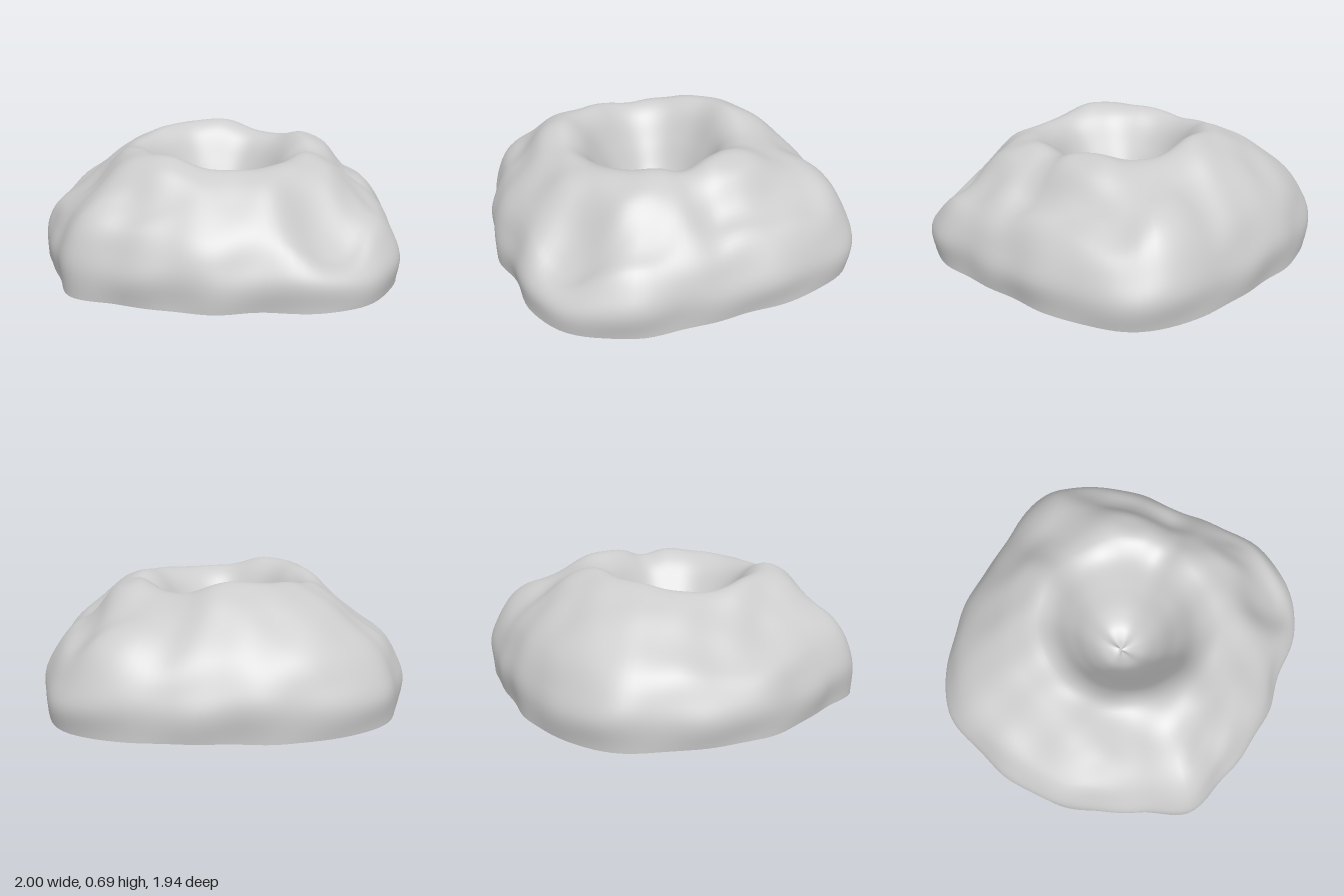
import * as THREE from 'three';

// Outline radius every 15 degrees, from +x towards +z
const OUTLINE = [0.985, 1.01, 1.09, 1.12, 1.08, 0.965, 0.96, 0.955, 0.98, 1.05, 0.98, 0.975,
  1.0, 1.01, 1.035, 1.085, 1.04, 1.0, 0.97, 0.985, 1.06, 1.14, 1.09, 1.03];
// Crest height every 30 degrees and crest radius every 90 degrees
const CREST = [0.61, 0.63, 0.61, 0.6, 0.65, 0.64, 0.61, 0.64, 0.67, 0.69, 0.63, 0.63];
const CREST_RADIUS = [0.5, 0.53, 0.48, 0.46];

// Cross-section: [place, height share]; place 1 = outer rim, 0 = crest, -1 = crater centre
const PROFILE = new THREE.CatmullRomCurve3([
  [0.98, 0], [1, 0.22], [0.93, 0.39], [0.8, 0.57], [0.5, 0.8], [0.25, 0.94], [0, 1],
  [-0.2, 0.92], [-0.4, 0.68], [-0.58, 0.43], [-0.74, 0.28], [-0.87, 0.23], [-1, 0.22],
].map(([a, y]) => new THREE.Vector3(a, y, 0)));

// Local dents and swellings: [x, z, width x, width z, height]
const BUMPS = [
  [0.58, 0.73, 0.22, 0.2, -0.15], // front corner terrace
  [0.74, 0.42, 0.12, 0.16, -0.05], // shoulder beside the terrace
  [0.74, -0.25, 0.09, 0.34, -0.04], // side step
  [0.55, -0.2, 0.14, 0.22, 0.04], // side ridge
  [0.62, 0.06, 0.3, 0.09, -0.02], // side groove
  [0.58, -0.76, 0.2, 0.16, 0.05], // back corner
  [-0.45, 0.7, 0.26, 0.08, -0.03], // front step
  [-0.62, 0.74, 0.18, 0.12, 0.05], // front corner
  [-0.2, 0.55, 0.25, 0.15, 0.02], // front plateau
  [-0.72, 0.0, 0.18, 0.35, -0.06], // sloping side
  [-0.64, 0.27, 0.1, 0.16, -0.02],
  [-0.42, 0.12, 0.18, 0.16, 0.02],
  [0.26, -0.56, 0.13, 0.2, -0.02], // back groove
];

// Smooth value from a closed ring of samples
function ring(samples, turn) {
  const n = samples.length, f = turn * n, i = Math.floor(f), t = f - i;
  const p = (k) => samples[(i + k + n) % n];
  return p(0) + 0.5 * t * (p(1) - p(-1)
    + t * (2 * p(-1) - 5 * p(0) + 4 * p(1) - p(2)
    + t * (3 * (p(0) - p(1)) + p(2) - p(-1))));
}

function lumps(x, z) {
  return 0.009 * Math.sin(9 * x + 2 * z + 1) * Math.sin(8 * z - 3 * x)
    + 0.005 * Math.sin(19 * x - 5 * z) * Math.sin(17 * z + 4 * x + 2);
}

function surfacePoint(turn, v) {
  const angle = turn * Math.PI * 2;
  const { x: a, y: share } = PROFILE.getPoint(v);
  const crest = ring(CREST_RADIUS, turn), R = ring(OUTLINE, turn);
  let r = a < 0 ? crest * (1 + a) : crest + (R - crest) * a;
  r += 0.008 * Math.sin(angle * 13 + share * 5) * Math.cos(angle * 4 - share * 7) * Math.max(0, a);
  const shift = Math.max(0, -a); // the crater floor sits slightly off centre
  const x = r * Math.cos(angle) - 0.01 * shift;
  const z = r * Math.sin(angle) * (1 + 0.1 * shift) + 0.01 * shift;
  const freedom = Math.min(1, share * 1.6); // the base rim stays level
  let extra = lumps(x, z);
  for (const [bx, bz, wx, wz, h] of BUMPS) {
    const q = ((x - bx) / wx) ** 2 + ((z - bz) / wz) ** 2;
    extra += h * Math.exp(-q * Math.sqrt(q));
  }
  return [x, Math.max(0, ring(CREST, turn) * share + extra * freedom), z];
}

function shellGeometry(around = 144, along = 72) {
  const positions = [], index = [];
  for (let j = 0; j < along; j++) {
    for (let i = 0; i < around; i++) positions.push(...surfacePoint(i / around, j / along));
  }
  const centre = positions.length / 3;
  positions.push(...surfacePoint(0, 1));
  for (let j = 0; j < along; j++) {
    for (let i = 0; i < around; i++) {
      const a = j * around + i, b = j * around + (i + 1) % around;
      if (j === along - 1) index.push(a, centre, b);
      else index.push(a, a + around, b, b, a + around, b + around);
    }
  }
  const geometry = new THREE.BufferGeometry();
  geometry.setAttribute('position', new THREE.Float32BufferAttribute(positions, 3));
  geometry.setIndex(index);
  geometry.computeVertexNormals();
  return geometry;
}

export function createModel() {
  const group = new THREE.Group();
  group.name = 'crateredMound';
  // Open-bottomed shell with a central crater
  const material = new THREE.MeshStandardMaterial({ color: 0xcccccc, side: THREE.DoubleSide });
  const shell = new THREE.Mesh(shellGeometry(), material);
  shell.name = 'moundShell';
  group.add(shell);
  return group;
}
